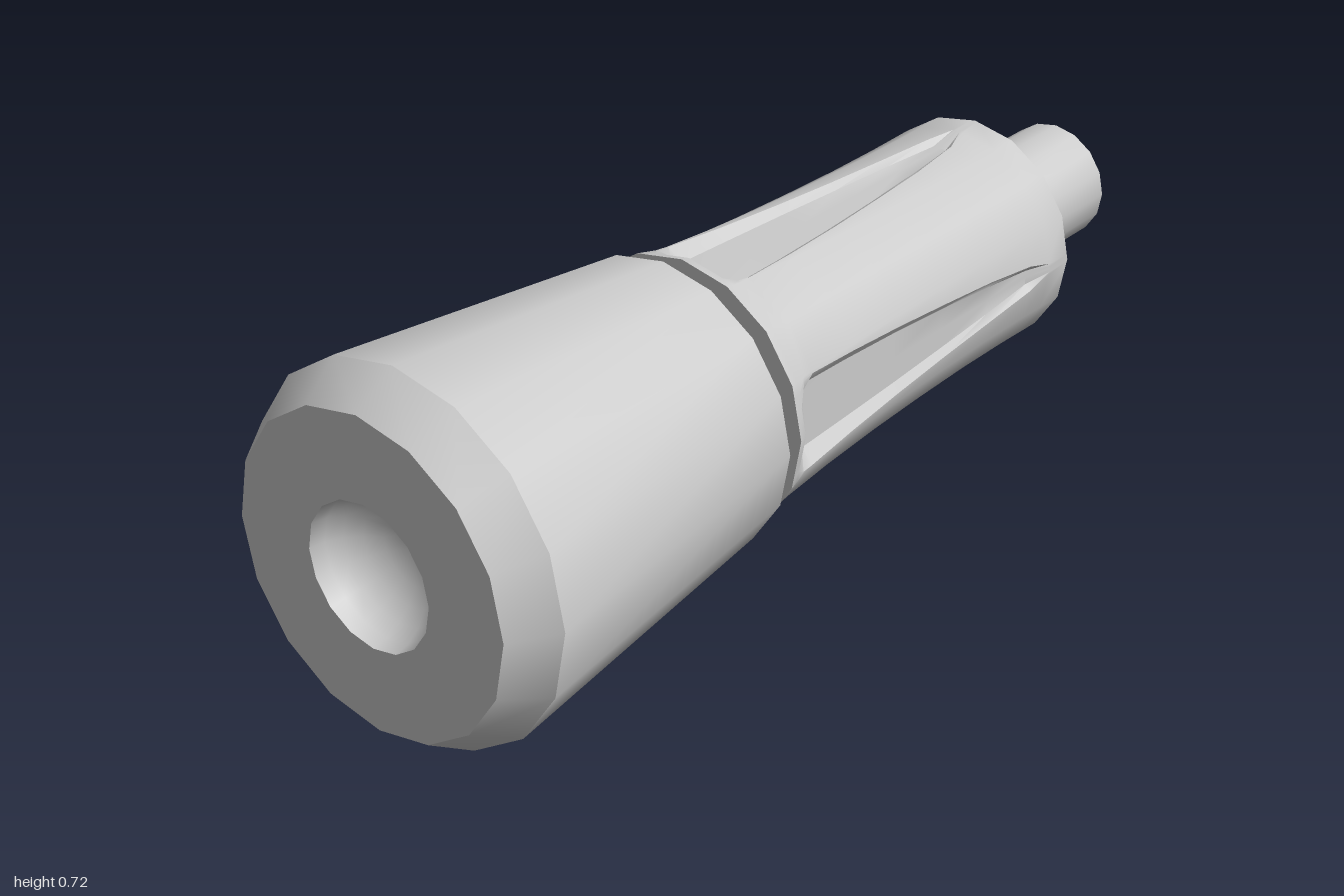
import * as THREE from 'three';
import { toCreasedNormals } from 'three/addons/utils/BufferGeometryUtils.js';

const SIDES = 16;
const CREASE = 0.6;
const AXIS_Y = 0.36;

function makeMesh(name, geometry) {
  const material = new THREE.MeshStandardMaterial({ color: 0xcccccc });
  const mesh = new THREE.Mesh(toCreasedNormals(geometry, CREASE), material);
  mesh.name = name;
  mesh.position.y = AXIS_Y;
  return mesh;
}

// Turned part along z, profile given as [radius, z] from back to front
function turned(name, profile) {
  const points = profile.map(([r, z]) => new THREE.Vector2(r, z));
  return makeMesh(name, new THREE.LatheGeometry(points, SIDES).rotateX(Math.PI / 2));
}

// Radius of a 16-sided outline at an angle measured from one of its corners
function facetRadius(r, a) {
  const step = (2 * Math.PI) / SIDES;
  return (r * Math.cos(step / 2)) / Math.cos((Math.abs(a) % step) - step / 2);
}

// Grip: stacked rings with four tapered, flat-bottomed grooves
function gripGeometry() {
  // z, outer radius, groove half-width at the rim, at the floor, floor height (0 = no groove)
  const rings = [
    [-0.7, 0, 0.01, 0.005, 0],
    [-0.7, 0.236, 0.01, 0.005, 0],
    [-0.64, 0.235, 0.012, 0.006, 0],
    [-0.58, 0.234, 0.028, 0.015, 0.217],
    [-0.45, 0.234, 0.044, 0.029, 0.216],
    [-0.3, 0.237, 0.058, 0.042, 0.215],
    [-0.15, 0.242, 0.072, 0.053, 0.215],
    [0, 0.25, 0.085, 0.061, 0.216],
    [0.13, 0.26, 0.096, 0.066, 0.218],
    [0.16, 0.264, 0.094, 0.064, 0.238],
    [0.185, 0.27, 0.08, 0.055, 0],
    [0.205, 0.275, 0.08, 0.055, 0],
    [0.205, 0.15, 0.05, 0.035, 0],
  ];
  const positions = [];
  const indices = [];
  const corner = Math.PI / 8;
  for (const [z, r, rim, floor, height] of rings) {
    const b = Math.min(Math.asin(rim / (r || 0.236)), corner * 0.99);
    const f = Math.atan(floor / (height || r || 0.236));
    for (let q = 0; q < 4; q++) {
      for (const a of [-2 * corner, -corner, -b, -f, 0, f, b, corner]) {
        const onFloor = height > 0 && Math.abs(a) <= f;
        const d = onFloor ? height / Math.cos(a) : facetRadius(r, a);
        const t = a + (q * Math.PI) / 2;
        positions.push(d * Math.cos(t), d * Math.sin(t), z);
      }
    }
  }
  const n = 32;
  for (let i = 0; i < rings.length - 1; i++) {
    for (let j = 0; j < n; j++) {
      const k = (j + 1) % n;
      const a = i * n + j, b = i * n + k, c = b + n, d = a + n;
      indices.push(a, b, d, b, c, d);
    }
  }
  const geometry = new THREE.BufferGeometry();
  geometry.setAttribute('position', new THREE.Float32BufferAttribute(positions, 3));
  geometry.setIndex(indices);
  return geometry;
}

export function createModel() {
  const group = new THREE.Group();
  group.name = 'groovedHandle';

  // Rear stem with its flared collar
  group.add(turned('stem', [[0, -1], [0.123, -1], [0.123, -0.68]]));
  group.add(turned('stemCollar', [[0.12, -0.79], [0.142, -0.79], [0.108, -0.695]]));

  group.add(makeMesh('groovedGrip', gripGeometry()));

  // Narrow neck, flared head, chamfered front and round dimple
  const head = [
    [0.195, 0.255], [0.29, 0.255], [0.36, 0.915], [0.306, 1], [0.14, 1],
  ];
  for (let i = 1; i <= 6; i++) {
    const a = (i / 6) * (Math.PI / 2);
    head.push([0.14 * Math.cos(a), 1 - 0.12 * Math.sin(a)]);
  }
  group.add(turned('neck', [[0.195, 0.2], [0.195, 0.26]]));
  group.add(turned('head', head));

  return group;
}
